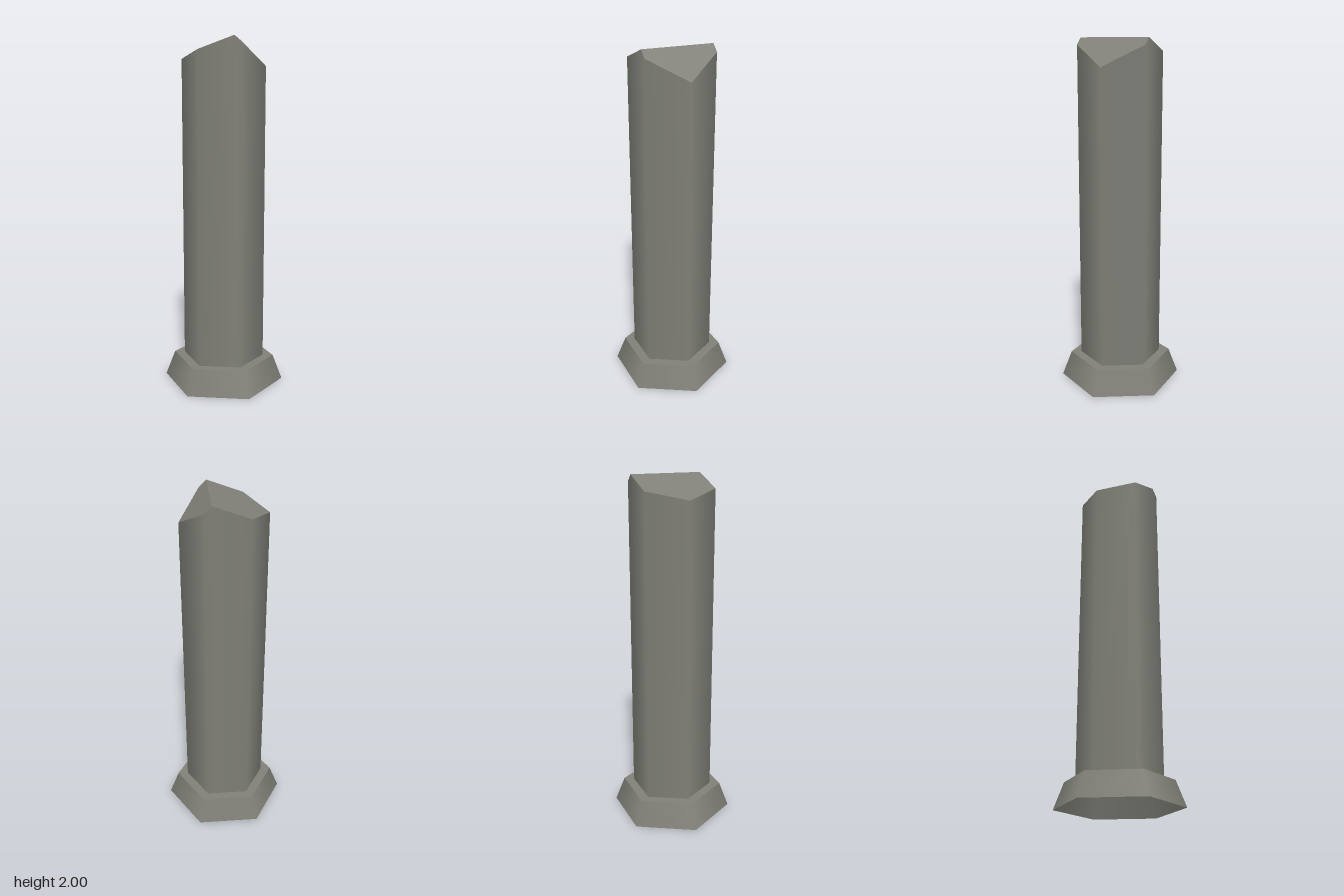
import * as THREE from 'three';

const R = 0.237;            // column corner radius
const H = R / 2;
const D = R * Math.sqrt(3) / 2;
const RIDGE = 0.078;        // x of the top ridge
const BASE_H = 0.145;

// Height of the slanted crown at a given x
function crownY(x) {
  return x <= RIDGE
    ? 2 - (RIDGE - x) * 0.115 / (RIDGE + R)
    : 2 - (x - RIDGE) * 0.155 / (R - RIDGE);
}

// Hexagon outline with the two ridge ends, counter-clockwise from above
const outline = [
  [R, 0], [H, -D], [RIDGE, -D], [-H, -D],
  [-R, 0], [-H, D], [RIDGE, D], [H, D],
];

// Smooth-shaded column walls
function wallGeometry() {
  const pos = [], nor = [], idx = [];
  outline.forEach(([x, z], i) => {
    const len = Math.hypot(x, z);
    pos.push(x, BASE_H, z, x, crownY(x), z);
    nor.push(x / len, 0, z / len, x / len, 0, z / len);
    const a = 2 * i, b = 2 * ((i + 1) % outline.length);
    idx.push(a, b, b + 1, a, b + 1, a + 1);
  });
  const g = new THREE.BufferGeometry();
  g.setAttribute('position', new THREE.Float32BufferAttribute(pos, 3));
  g.setAttribute('normal', new THREE.Float32BufferAttribute(nor, 3));
  g.setIndex(idx);
  return g;
}

// One flat slope of the crown, fanned over outline corners
function slopeGeometry(corners) {
  const pos = corners.flatMap((i) => {
    const [x, z] = outline[i];
    return [x, crownY(x), z];
  });
  const g = new THREE.BufferGeometry();
  g.setAttribute('position', new THREE.Float32BufferAttribute(pos, 3));
  g.setIndex([0, 1, 2, 0, 2, 3, 0, 3, 4]);
  g.computeVertexNormals();
  return g;
}

export function createModel() {
  const model = new THREE.Group();
  model.name = 'hexagonalPillar';
  const stone = new THREE.MeshStandardMaterial({ color: 0x808078, side: THREE.DoubleSide });
  stone.name = 'greyStone';

  const add = (name, geometry) => {
    const mesh = new THREE.Mesh(geometry, stone);
    mesh.name = name;
    model.add(mesh);
    return mesh;
  };

  // Tapered foot, open underneath
  add('footSkirt', new THREE.CylinderGeometry(0.297, 0.352, BASE_H, 6, 1, true, Math.PI / 6))
    .position.y = BASE_H / 2;
  const top = add('footTop', new THREE.CircleGeometry(0.297, 6));
  top.rotation.x = -Math.PI / 2;
  top.position.y = BASE_H;

  // Column and its two-sloped crown
  add('column', wallGeometry());
  add('longSlope', slopeGeometry([2, 3, 4, 5, 6]));
  add('shortSlope', slopeGeometry([0, 1, 2, 6, 7]));

  return model;
}
